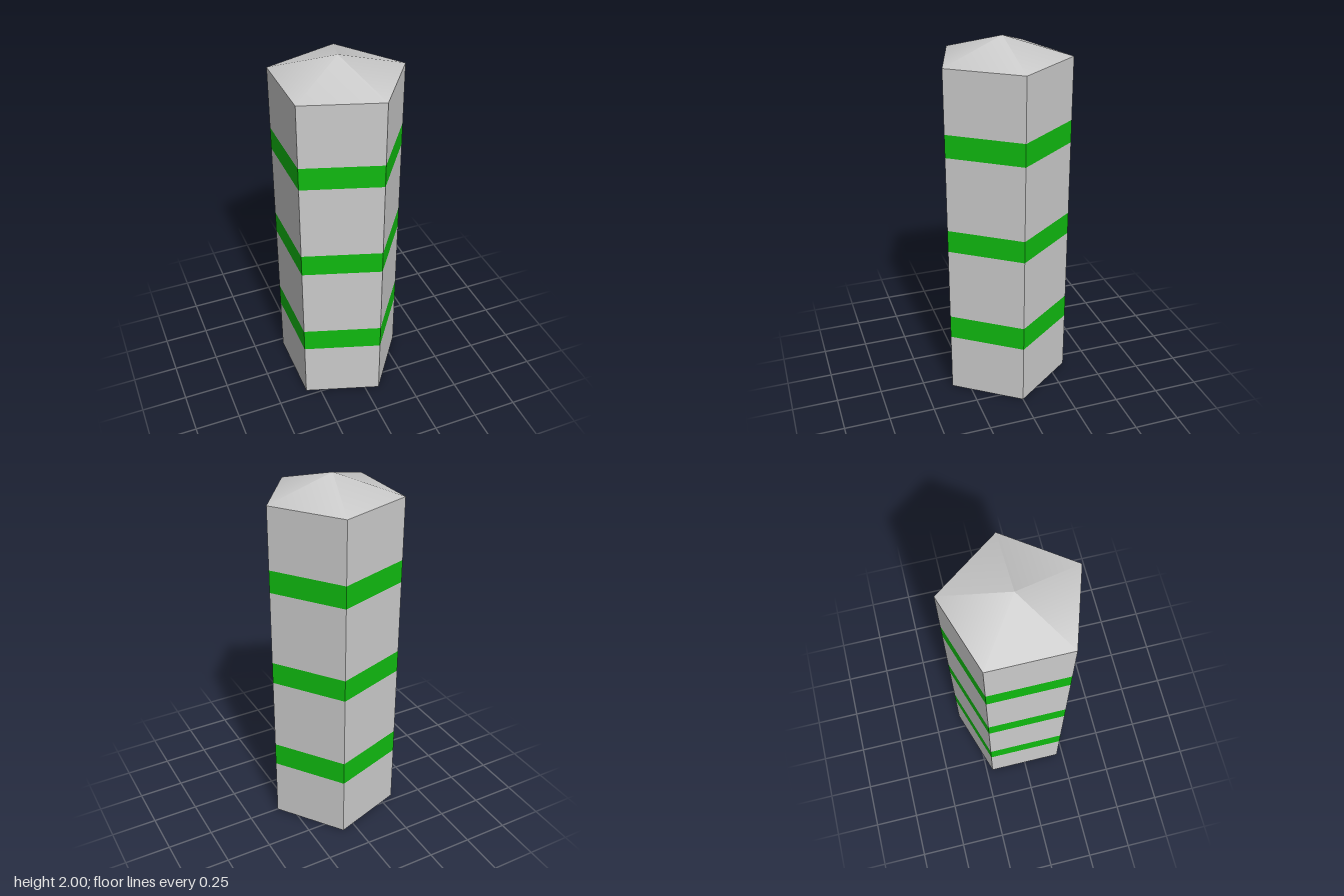
import * as THREE from 'three';

const RADIUS = 0.363;
const SIDES = 5;
const CENTER_X = -0.035;
const SHOULDER = 1.89;
const APEX = 2;

export function createModel() {
  const model = new THREE.Group();
  model.name = 'bandedPost';

  const grey = new THREE.MeshStandardMaterial({ color: 0xcccccc, flatShading: true });
  const green = new THREE.MeshStandardMaterial({ color: 0x10bb10, flatShading: true });
  const capGrey = new THREE.MeshStandardMaterial({ color: 0xcccccc });

  const add = (name, geometry, material, y) => {
    const mesh = new THREE.Mesh(geometry, material);
    mesh.name = name;
    mesh.position.set(CENTER_X, y, 0);
    model.add(mesh);
    return mesh;
  };

  // Five-sided shaft, one corner towards +x, split into plain sections and flush bands
  const levels = [0, 0.34, 0.475, 0.885, 1.01, 1.425, 1.55, SHOULDER];
  for (let i = 0; i < levels.length - 1; i++) {
    const height = levels[i + 1] - levels[i];
    const isBand = i % 2 === 1;
    const ring = new THREE.CylinderGeometry(RADIUS, RADIUS, height, SIDES, 1, true, Math.PI / 2);
    const name = (isBand ? 'greenBand' : 'shaftSection') + (Math.floor(i / 2) + 1);
    add(name, ring, isBand ? green : grey, levels[i] + height / 2);
  }

  // Shallow pointed cap with smooth normals
  const capHeight = APEX - SHOULDER;
  const cap = new THREE.ConeGeometry(RADIUS, capHeight, SIDES, 1, true, Math.PI / 2);
  add('pointedCap', cap, capGrey, SHOULDER + capHeight / 2);

  // Flat underside
  const base = new THREE.CircleGeometry(RADIUS, SIDES).rotateX(Math.PI / 2);
  add('base', base, grey, 0);

  return model;
}
